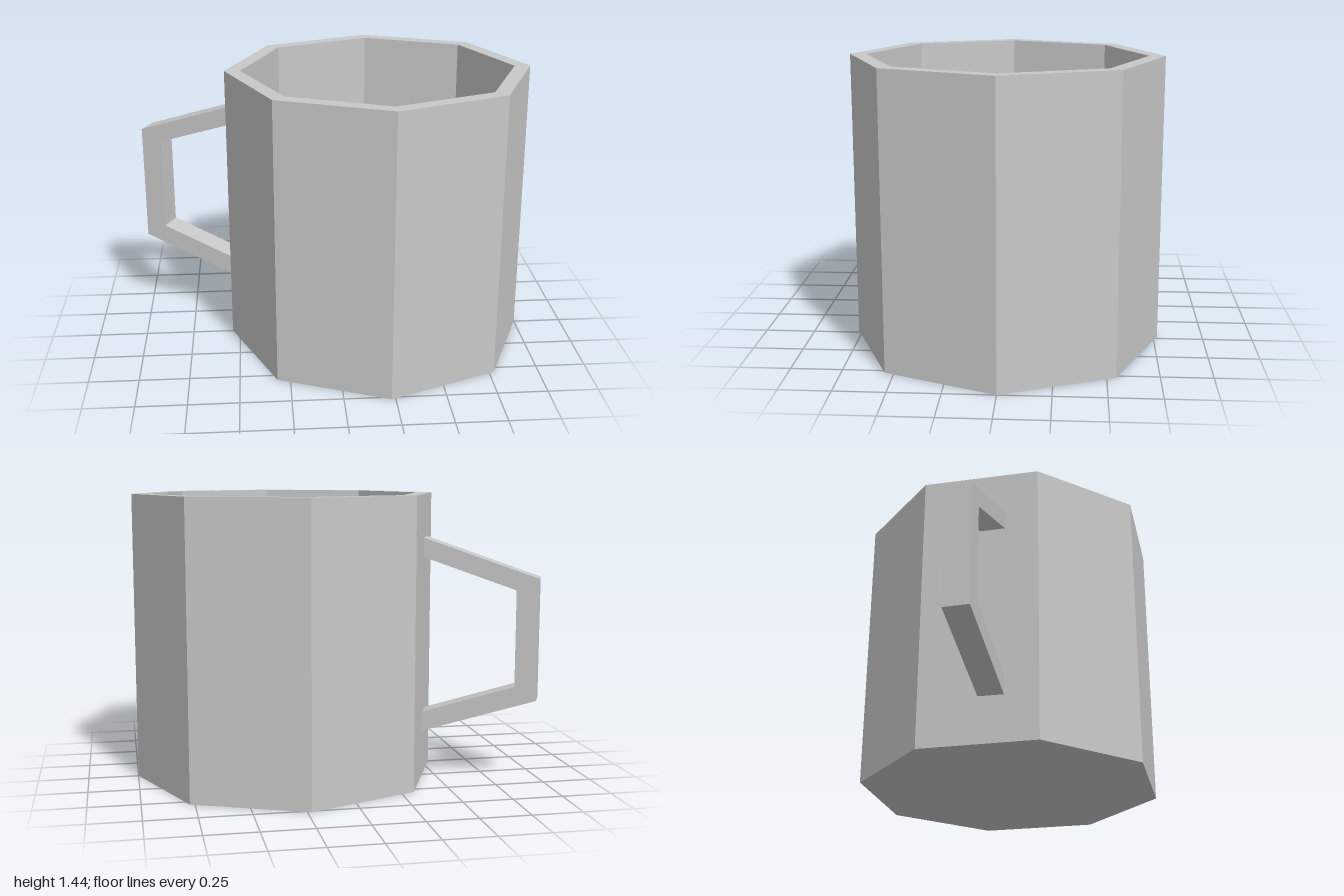
import * as THREE from 'three';

export function createModel() {
  const model = new THREE.Group();
  model.name = 'mug';
  const grey = new THREE.MeshStandardMaterial({ color: 0xc8c8c8, flatShading: true });
  grey.name = 'light grey';

  // Eight-sided hollow cup: base, outer wall, rim, inner wall, floor
  const profile = [[0, 0], [0.77, 0], [0.77, 1.44], [0.69, 1.44], [0.69, 0.08], [0, 0.08]]
    .map(([r, y]) => new THREE.Vector2(r, y));
  const cup = new THREE.Mesh(new THREE.LatheGeometry(profile, 8), grey);
  cup.name = 'cup';
  cup.position.x = 0.23;
  model.add(cup);

  // Angular handle: a bracket outline in the radial plane, sunk slightly into the wall
  const outline = [
    [0.69, 0.23], [1.283, 0.42], [1.283, 1.03], [0.69, 1.23],
    [0.69, 1.133], [1.174, 0.97], [1.174, 0.485], [0.69, 0.33],
  ].map(([x, y]) => new THREE.Vector2(x, y));
  const width = 0.127;
  const geometry = new THREE.ExtrudeGeometry(new THREE.Shape(outline), { depth: width, bevelEnabled: false });
  geometry.translate(0, 0, -0.082 - width / 2); // a little off the cup's axis
  const handle = new THREE.Mesh(geometry, grey);
  handle.name = 'handle';
  handle.position.x = 0.23;
  handle.rotation.y = THREE.MathUtils.degToRad(156);
  model.add(handle);

  return model;
}
